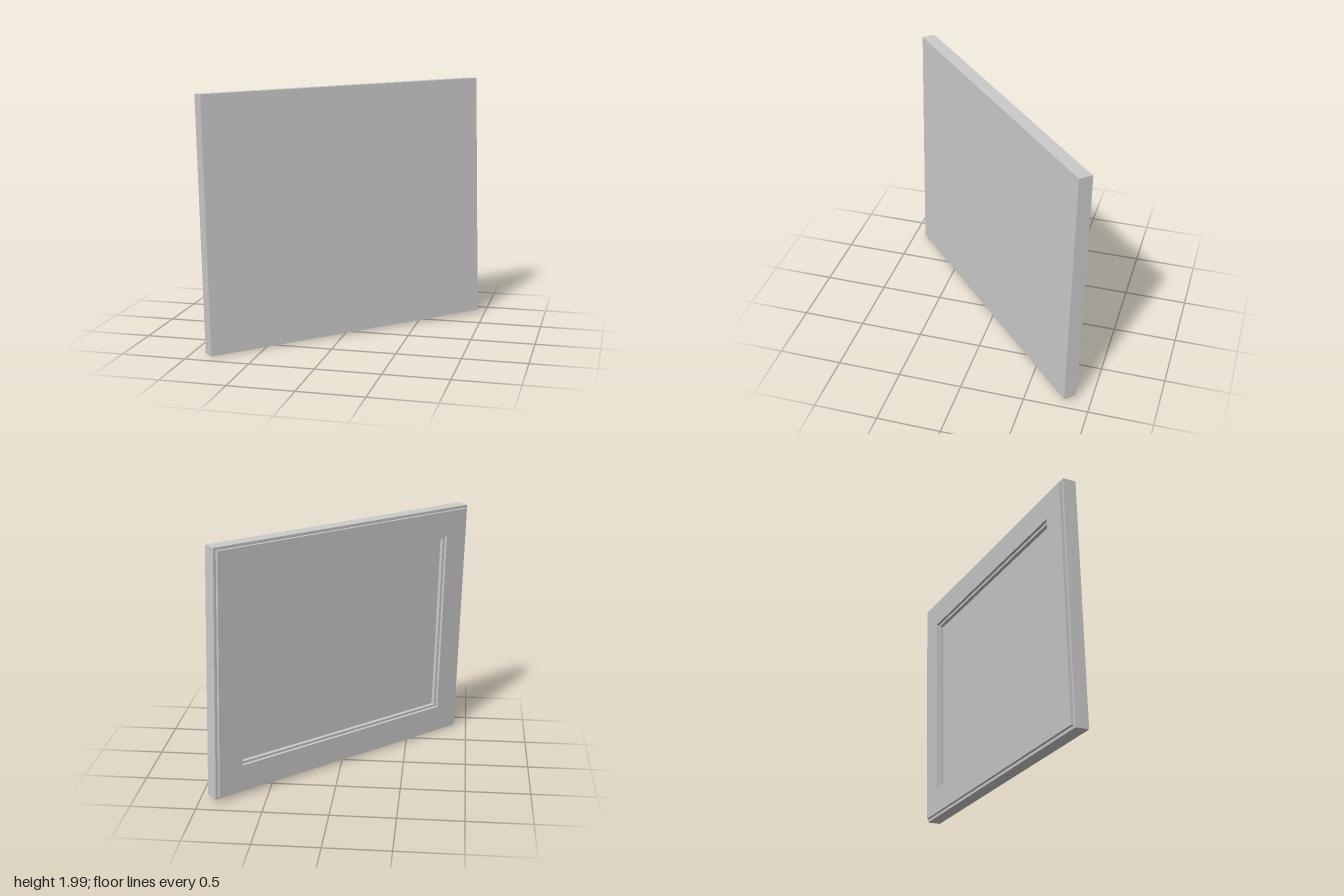
import * as THREE from 'three';

const W = 2.46, H = 1.96; // outer size of the frame

// Sweeps a moulding profile of [inset, depth] points round a mitred rectangle.
function mitredRing(profile) {
  const pos = [];
  const corners = ([inset, depth]) => {
    const x = W / 2 - inset, y = H / 2 - inset;
    return [[-x, -y, depth], [x, -y, depth], [x, y, depth], [-x, y, depth]];
  };
  for (let i = 0; i < profile.length - 1; i++) {
    const p = corners(profile[i]), q = corners(profile[i + 1]);
    for (let j = 0; j < 4; j++) {
      const k = (j + 1) % 4;
      pos.push(...p[j], ...p[k], ...q[k], ...p[j], ...q[k], ...q[j]);
    }
  }
  const geo = new THREE.BufferGeometry();
  geo.setAttribute('position', new THREE.Float32BufferAttribute(pos, 3));
  geo.computeVertexNormals();
  return geo;
}

export function createModel() {
  const model = new THREE.Group();
  model.name = 'pictureFrame';
  const material = new THREE.MeshStandardMaterial({ color: 0xcccccc });
  const add = (name, geometry) => {
    const mesh = new THREE.Mesh(geometry, material);
    mesh.name = name;
    frame.add(mesh);
    return mesh;
  };

  // The frame is built upright facing local +z, then turned and leaned
  const frame = new THREE.Group();
  frame.name = 'leaningFrame';
  model.add(frame);

  // Moulding: outer side, stepped lip, wide face, stepped opening
  add('moulding', mitredRing([
    [0, 0], [0, 0.106], [0.022, 0.106], [0.022, 0.128],
    [0.23, 0.128], [0.23, 0.105], [0.25, 0.105], [0.25, 0.075],
  ]));

  // Picture panel recessed in the opening
  add('picturePanel', new THREE.PlaneGeometry(W - 0.5, H - 0.5)).position.z = 0.075;

  // Flat backing board
  add('backingBoard', new THREE.PlaneGeometry(W, H)).rotation.y = Math.PI;

  // Turn to the diagonal with a slight lean and roll
  const x = new THREE.Vector3(-1.765, -0.025, 1.71).normalize();
  const z = x.clone().cross(new THREE.Vector3(-0.055, 1.96, -0.025)).normalize();
  const y = z.clone().cross(x);
  frame.quaternion.setFromRotationMatrix(new THREE.Matrix4().makeBasis(x, y, z));
  frame.position.set(0.034, 1.002, 0.039);
  return model;
}
